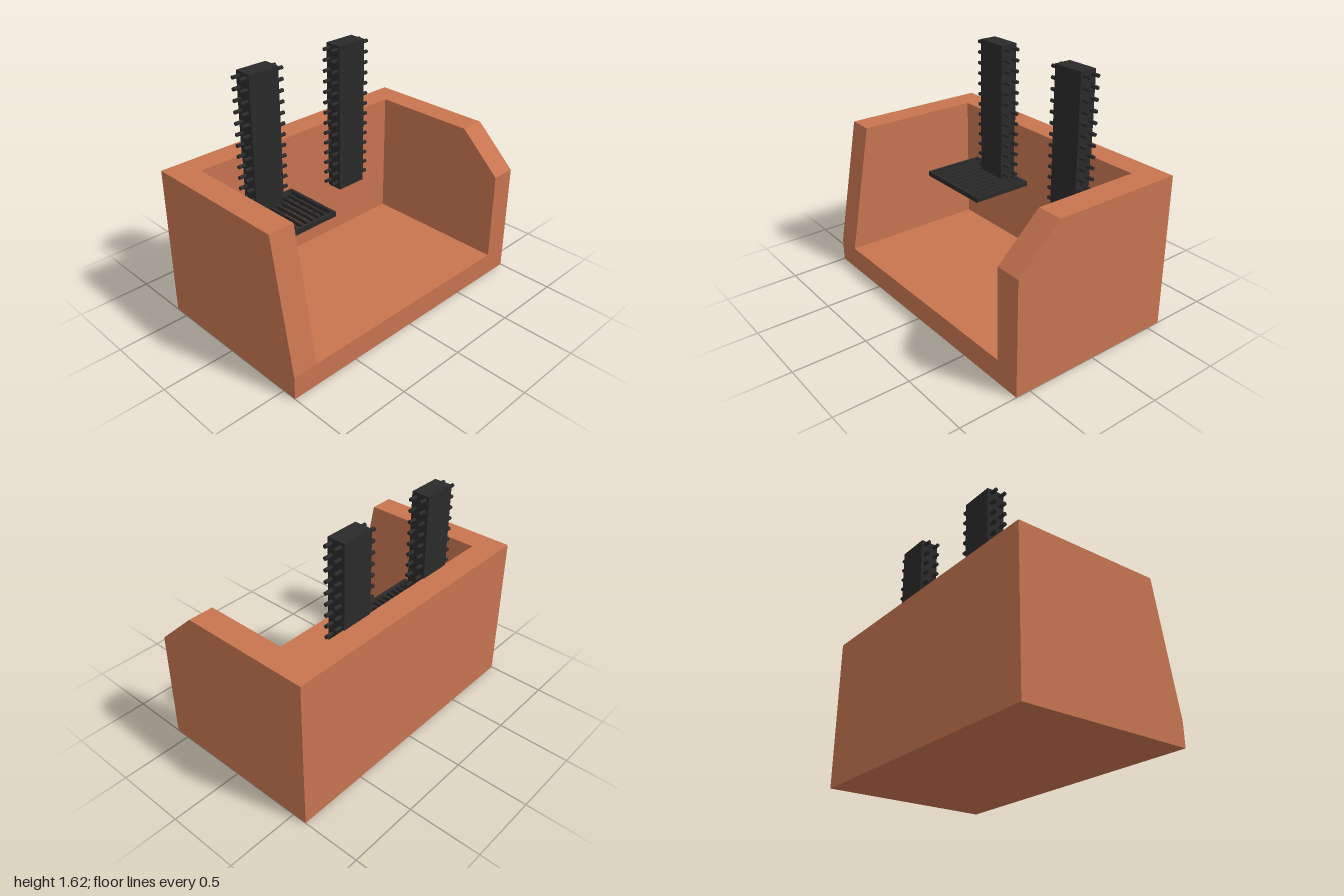
import * as THREE from 'three';

const clay = new THREE.MeshStandardMaterial({ color: 0xc87550, flatShading: true });
const dark = new THREE.MeshStandardMaterial({ color: 0x2a2a2a });

// Side profile in [z, y], extruded across x from x0 to x1
function slab(name, points, x0, x1) {
  const shape = new THREE.Shape(points.map(([z, y]) => new THREE.Vector2(z, y)));
  const geo = new THREE.ExtrudeGeometry(shape, { depth: x1 - x0, bevelEnabled: false });
  geo.rotateY(-Math.PI / 2).translate(x1, 0, 0);
  const mesh = new THREE.Mesh(geo, clay);
  mesh.name = name;
  return mesh;
}

function box(name, x0, x1, y0, y1, z0, z1) {
  const mesh = new THREE.Mesh(new THREE.BoxGeometry(x1 - x0, y1 - y0, z1 - z0), dark);
  mesh.position.set((x0 + x1) / 2, (y0 + y1) / 2, (z0 + z1) / 2);
  mesh.name = name;
  return mesh;
}

// Upright block with two columns of pins sticking out of both sides
function createTower(name, x) {
  const tower = new THREE.Group();
  tower.name = name;
  tower.add(box('towerBody', -0.115, 0.115, 0.555, 1.62, -0.437, -0.313));
  const pinGeo = new THREE.CylinderGeometry(0.0125, 0.0125, 0.053, 12).rotateZ(Math.PI / 2);
  for (let i = 0; i < 14; i++) {
    for (const z of [-0.341, -0.409]) {
      for (const side of [-1, 1]) {
        const pin = new THREE.Mesh(pinGeo, dark);
        pin.name = 'pin';
        pin.position.set(side * 0.1415, 0.605 + i * 0.0758, z);
        tower.add(pin);
      }
    }
  }
  tower.position.x = x;
  return tower;
}

// Flat slotted shelf: outer frame and ten bars running front to back
function createRack() {
  const rack = new THREE.Group();
  rack.name = 'rack';
  const [x0, x1, y0, y1, z0, z1, t] = [-0.692, -0.118, 0.627, 0.662, -0.42, 0.025, 0.022];
  rack.add(
    box('rackSideRail', x0, x0 + t, y0, y1, z0, z1),
    box('rackSideRail', x1 - t, x1, y0, y1, z0, z1),
    box('rackBackRail', x0 + t, x1 - t, y0, y1, z0, z0 + t),
    box('rackFrontRail', x0 + t, x1 - t, y0, y1, z1 - t, z1)
  );
  const step = (x1 - x0 - t) / 11;
  for (let i = 1; i <= 10; i++) {
    const x = x0 + t / 2 + i * step;
    rack.add(box('rackBar', x - 0.009, x + 0.009, y0 + 0.004, y1 - 0.004, z0 + t, z1 - t));
  }
  return rack;
}

export function createModel() {
  const model = new THREE.Group();
  model.name = 'openBox';

  // Open-fronted shell: floor with back wall, and two differently cut side walls
  model.add(
    slab('floorAndBack', [[-0.6, 0], [0.6, 0], [0.6, 0.16], [-0.43, 0.16], [-0.43, 1.05], [-0.6, 1.05]], -0.825, 0.825),
    slab('rightWall', [[-0.6, 0], [0.6, 0], [0.6, 0.16], [0.435, 1.05], [-0.6, 1.05]], -1, -0.825),
    slab('leftWall', [[-0.6, 0], [0.6, 0], [0.6, 0.78], [0.31, 1.05], [-0.6, 1.05]], 0.825, 1)
  );

  model.add(createTower('rightTower', -0.391), createTower('leftTower', 0.36), createRack());
  return model;
}
